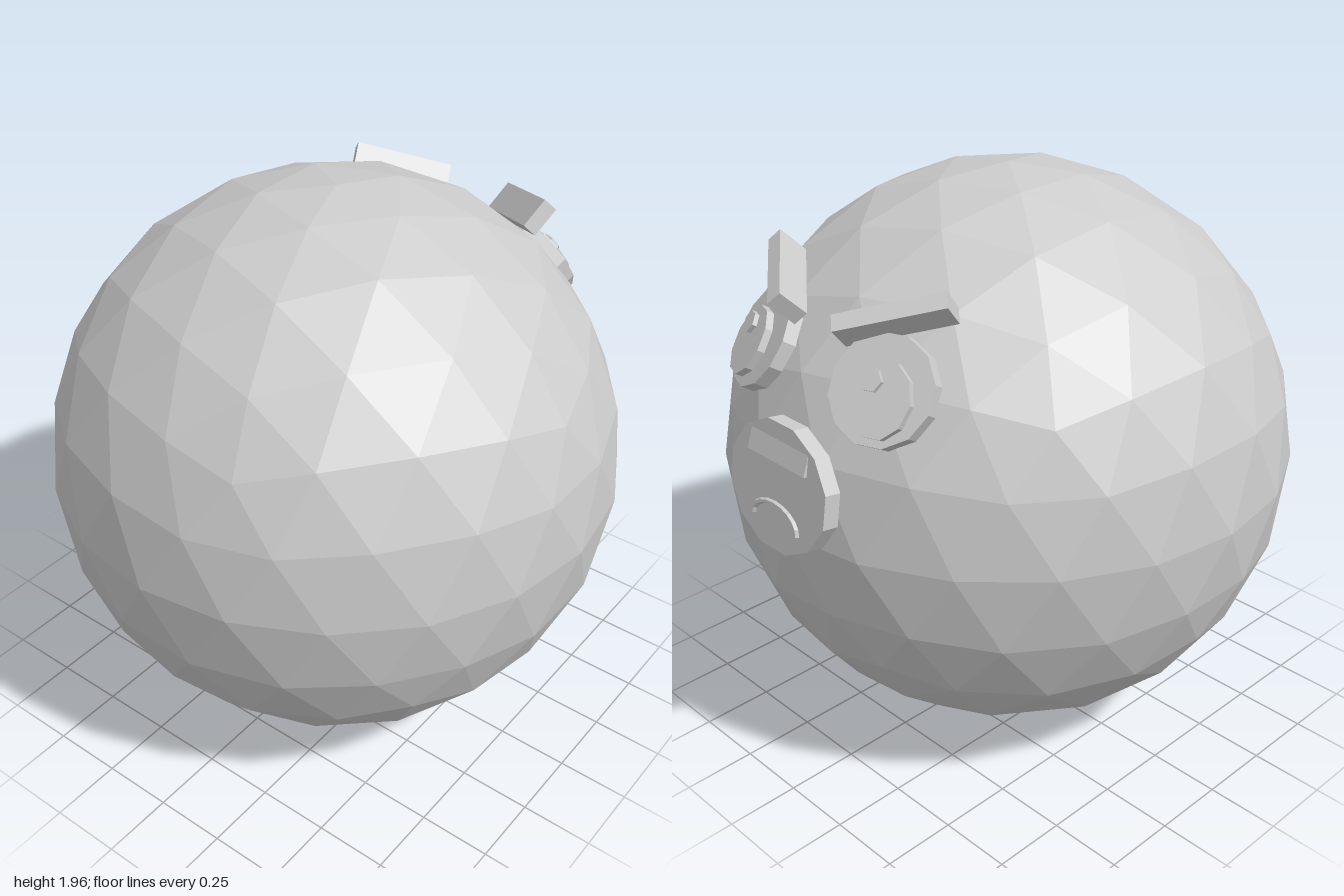
import * as THREE from 'three';

export function createModel() {
  const model = new THREE.Group();
  model.name = 'angryBall';
  const grey = new THREE.MeshStandardMaterial({ color: 0xcccccc });
  grey.name = 'grey';

  // faceted mesh helper
  function add(parent, name, geometry, x = 0, y = 0, z = 0) {
    const g = geometry.index ? geometry.toNonIndexed() : geometry;
    g.computeVertexNormals();
    const mesh = new THREE.Mesh(g, grey);
    mesh.name = name;
    mesh.position.set(x, y, z);
    parent.add(mesh);
    return mesh;
  }

  // elliptical disc whose outer face lies at local z = 0
  function disc(rx, ry, depth, sides) {
    return new THREE.CylinderGeometry(1, 1, depth, sides)
      .rotateY(Math.PI / sides).rotateX(Math.PI / 2)
      .scale(rx, ry, 1).translate(0, 0, -depth / 2);
  }

  // group with local +z pointing along a direction
  function facing(name, position, direction) {
    const group = new THREE.Group();
    group.name = name;
    group.position.copy(position);
    group.lookAt(position.clone().add(direction));
    model.add(group);
    return group;
  }

  // body: faceted ball with a vertex at each pole
  const phi = (1 + Math.sqrt(5)) / 2;
  const ball = new THREE.IcosahedronGeometry(0.98, 3).rotateZ(-Math.atan(1 / phi));
  add(model, 'body', ball, 0, 0.98, 0.02);

  // eyes and slanted brows
  for (const side of [1, -1]) {
    const label = side > 0 ? 'left' : 'right';
    const eye = facing(label + 'Eye',
      new THREE.Vector3(side * 0.29, 1.503, -0.782),
      new THREE.Vector3(side * 0.29, 0.525, -0.80));
    add(eye, label + 'EyeWhite', disc(0.172, 0.172, 0.06, 12));
    add(eye, label + 'Iris', disc(0.1, 0.118, 0.04, 10), -side * 0.015, -0.03, 0.025);
    // both pupils glance the same way
    add(eye, label + 'Pupil', disc(0.037, 0.037, 0.03, 6), side > 0 ? -0.04 : -0.02, 0.02, 0.04);

    const along = new THREE.Vector3(side * 0.27, 0.09, 0.21).normalize().multiplyScalar(side);
    const out = new THREE.Vector3(side * 0.256, 0.705, -0.71);
    out.addScaledVector(along, -out.dot(along)).normalize();
    const across = new THREE.Vector3().crossVectors(out, along);
    const brow = add(model, label + 'Brow', new THREE.BoxGeometry(0.35, 0.055, 0.11),
      side * 0.256, 1.685, -0.69);
    brow.quaternion.setFromRotationMatrix(new THREE.Matrix4().makeBasis(along, across, out));
  }

  // snout plate with a tilted bar and a frowning mouth
  const snout = facing('snout', new THREE.Vector3(0, 1.145, -0.967),
    new THREE.Vector3(0, 0.155, -0.988));
  add(snout, 'snoutPlate', disc(0.24, 0.212, 0.055, 12));
  const bar = add(snout, 'snoutBar', new THREE.BoxGeometry(0.28, 0.07, 0.03), 0, 0.115, -0.009);
  bar.rotation.x = -0.17;
  add(snout, 'mouth', new THREE.TorusGeometry(0.11, 0.014, 6, 10, Math.PI).scale(1, 0.6, 0.8),
    0, -0.12, 0);

  return model;
}
